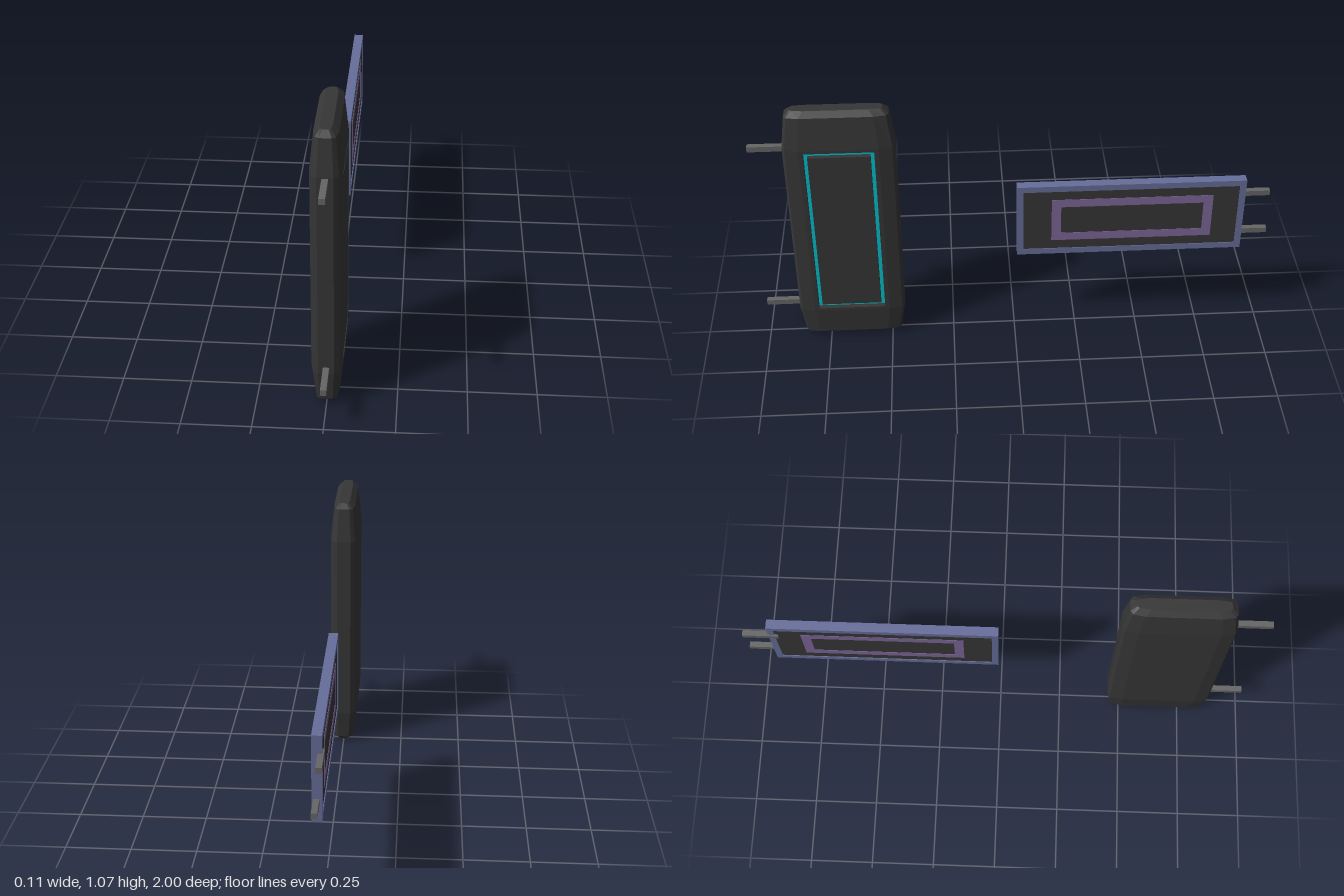
import * as THREE from 'three';

const mat = (color) => new THREE.MeshStandardMaterial({ color, flatShading: true });

function add(parent, name, geometry, material) {
  const mesh = new THREE.Mesh(geometry, material);
  mesh.name = name;
  parent.add(mesh);
  return mesh;
}

function box(parent, name, material, [x, y, z], [w, h, d]) {
  add(parent, name, new THREE.BoxGeometry(w, h, d), material).position.set(x, y, z);
}

// Rectangular frame in the z-y plane; depth runs along x, centred on the origin
function frameGeometry(d, h, innerD, innerH, depth) {
  const rect = (Type, w, t) => new Type([[-w, -t], [w, -t], [w, t], [-w, t]]
    .map(([a, b]) => new THREE.Vector2(a / 2, b / 2)));
  const shape = rect(THREE.Shape, d, h);
  shape.holes.push(rect(THREE.Path, innerD, innerH));
  return new THREE.ExtrudeGeometry(shape, { depth, bevelEnabled: false })
    .translate(0, 0, -depth / 2)
    .rotateY(Math.PI / 2);
}

// Tapered shell lofted through 12-sided rings; the flat +x face is left open
function shellGeometry() {
  const quarter = [[1, 0.71], [0.82, 0.95], [0.5, 1]];
  const back = quarter.map(([x, z]) => [-x, z]).reverse();
  const half = [...quarter, ...back];
  const outline = [...half, ...half.map(([x, z]) => [-x, -z])];
  const levels = [
    [0, 0.022, 0.17], [0.02, 0.043, 0.193], [0.14, 0.0565, 0.211],
    [0.915, 0.0565, 0.211], [1.05, 0.043, 0.193], [1.07, 0.022, 0.17],
  ];
  const rings = levels.map(([y, hx, hz]) => outline.map(([x, z]) => [x * hx, y, z * hz]));
  const n = outline.length;
  const pos = [];
  const tri = (a, b, c) => pos.push(...a, ...b, ...c);
  for (let r = 0; r < rings.length - 1; r++) {
    for (let i = 0; i < n; i++) {
      if (r === 2 && i === n - 1) continue;
      const j = (i + 1) % n;
      const [a, b, c, d] = [rings[r][i], rings[r][j], rings[r + 1][j], rings[r + 1][i]];
      tri(a, c, b);
      tri(a, d, c);
    }
  }
  // End caps
  const top = rings[rings.length - 1];
  const bottom = rings[0];
  for (let i = 1; i < n - 1; i++) {
    tri(bottom[0], bottom[i], bottom[i + 1]);
    tri(top[0], top[i + 1], top[i]);
  }
  const g = new THREE.BufferGeometry();
  g.setAttribute('position', new THREE.Float32BufferAttribute(pos, 3));
  g.computeVertexNormals();
  return g;
}

export function createModel() {
  const model = new THREE.Group();
  const dark = mat(0x363636);
  const steel = mat(0x666666);
  const cyan = mat(0x00c2cf);
  const blue = mat(0x666d9a);
  const purple = mat(0x7d6698);

  // Tall casing with a glowing groove in its +x face
  const casing = new THREE.Group();
  casing.name = 'tallCasing';
  casing.position.z = 0.656;
  model.add(casing);
  const midY = 0.5275;
  add(casing, 'casingShell', shellGeometry(), dark);
  add(casing, 'casingFace', frameGeometry(0.2996, 0.775, 0.265, 0.75, 0.02), dark)
    .position.set(0.0465, midY, 0);
  box(casing, 'glowStrip', cyan, [0.034, midY, 0], [0.006, 0.76, 0.275]);
  box(casing, 'coverPlate', dark, [0.0455, midY, 0], [0.02, 0.71, 0.235]);
  for (const y of [0.9, 0.155]) {
    box(casing, 'casingPin', steel, [0, y, 0.267], [0.022, 0.022, 0.154]);
  }

  // Low framed panel
  const panel = new THREE.Group();
  panel.name = 'framedPanel';
  panel.position.set(0.0135, 0.5375, -0.455);
  model.add(panel);
  add(panel, 'panelFrame', frameGeometry(0.89, 0.325, 0.84, 0.275, 0.037), blue);
  box(panel, 'panelCore', dark, [0, 0, 0], [0.031, 0.28, 0.845]);
  add(panel, 'panelInlay', frameGeometry(0.63, 0.195, 0.556, 0.125, 0.034), purple)
    .position.z = -0.005;
  // Pins, the upper one standing slightly proud of the panel
  for (const [x, y] of [[-0.0135, 0.085], [0.0025, -0.085]]) {
    box(panel, 'panelPin', steel, [x, y, -0.475], [0.022, 0.022, 0.14]);
  }
  return model;
}
